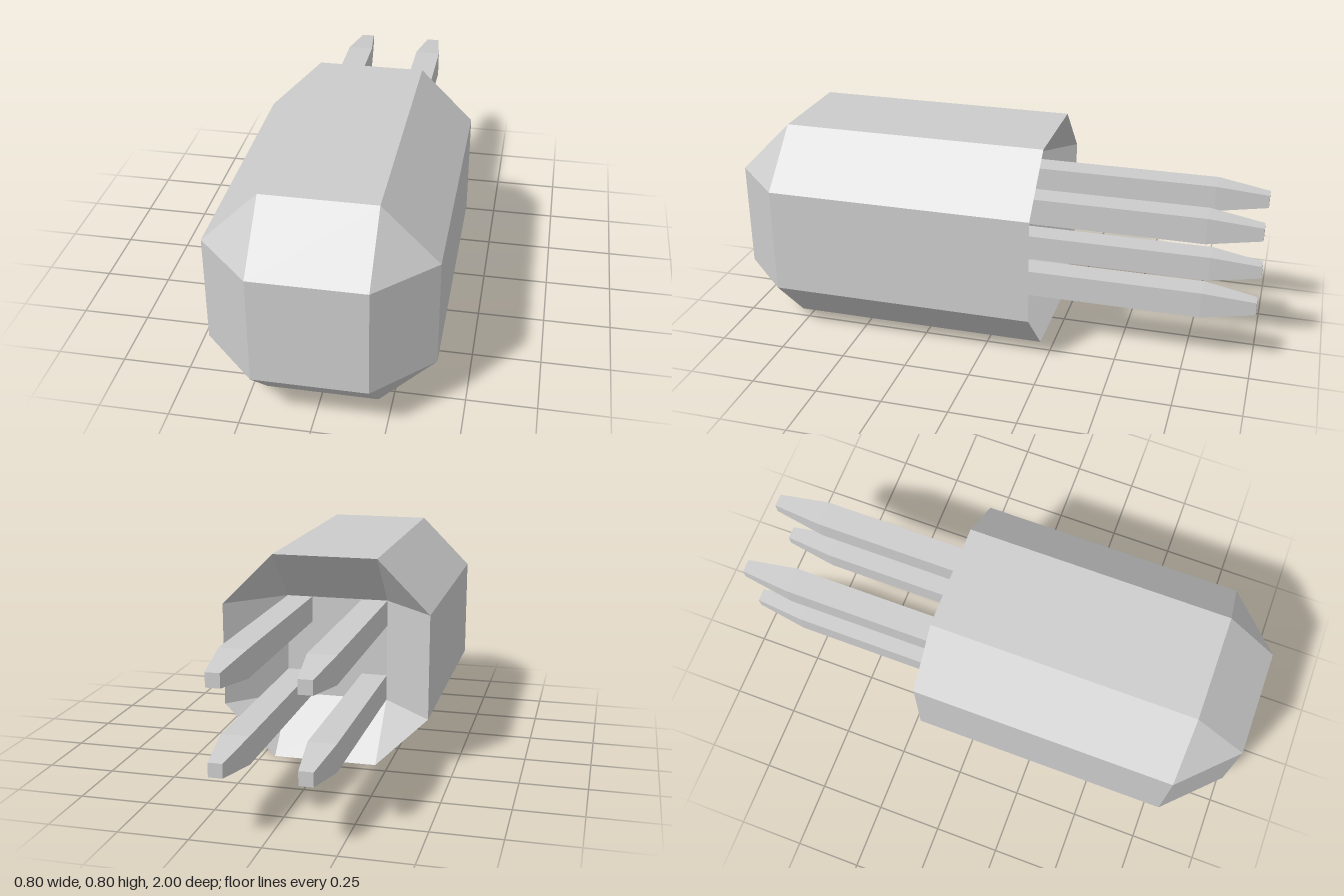
import * as THREE from 'three';

const grey = new THREE.MeshStandardMaterial({ color: 0xcccccc, flatShading: true });
grey.name = 'light grey';

// Octagon around the body axis, anticlockwise seen from the front
const octagon = [[0.4, -0.2], [0.4, 0.2], [0.2, 0.4], [-0.2, 0.4], [-0.4, 0.2], [-0.4, -0.2], [-0.2, -0.4], [0.2, -0.4]];
// Square with doubled corners, so that it pairs up with the octagon
const square = octagon.map(([x, y]) => [Math.sign(x) * 0.2, Math.sign(y) * 0.2]);

const section = (outline, z) => outline.map(([x, y]) => new THREE.Vector3(x, y + 0.4, z));

// Skin the sections in order and close both ends with flat faces
function loft(sections) {
  const points = [];
  const tri = (a, b, c) => {
    const area = b.clone().sub(a).cross(c.clone().sub(a)).length();
    if (area > 1e-6) points.push(a, b, c);
  };
  for (let s = 0; s < sections.length - 1; s++) {
    const p = sections[s], q = sections[s + 1];
    for (let i = 0; i < p.length; i++) {
      const j = (i + 1) % p.length;
      tri(p[i], p[j], q[j]);
      tri(p[i], q[j], q[i]);
    }
  }
  const first = sections[0], last = sections[sections.length - 1];
  for (let i = 1; i < first.length - 1; i++) {
    tri(first[0], first[i + 1], first[i]);
    tri(last[0], last[i], last[i + 1]);
  }
  const geometry = new THREE.BufferGeometry().setFromPoints(points);
  geometry.computeVertexNormals();
  return geometry;
}

// Square pin pointing backwards, narrowing to a blunt tip
function pinGeometry() {
  const box = new THREE.BoxGeometry(0.1, 0.1, 1, 1, 1, 5).translate(0, 0, -0.5);
  const pos = box.attributes.position;
  for (let i = 0; i < pos.count; i++) {
    if (pos.getZ(i) < -0.9) pos.setXY(i, pos.getX(i) / 2, pos.getY(i) / 2);
  }
  const geometry = box.toNonIndexed();
  geometry.computeVertexNormals();
  return geometry;
}

export function createModel() {
  const model = new THREE.Group();
  model.name = 'pinnedCapsule';

  // Body: recessed floor at the back, straight sides, bevelled front
  const body = new THREE.Mesh(loft([
    section(square, 0),
    section(octagon, -0.2),
    section(octagon, 0.8),
    section(square, 1),
  ]), grey);
  body.name = 'body';
  model.add(body);

  // Four pins standing in the corners of the recess
  const pin = pinGeometry();
  for (const x of [-0.15, 0.15]) {
    for (const y of [0.25, 0.55]) {
      const mesh = new THREE.Mesh(pin, grey);
      mesh.name = (y > 0.4 ? 'upper' : 'lower') + (x > 0 ? 'Left' : 'Right') + 'Pin';
      mesh.position.set(x, y, 0);
      model.add(mesh);
    }
  }
  return model;
}
